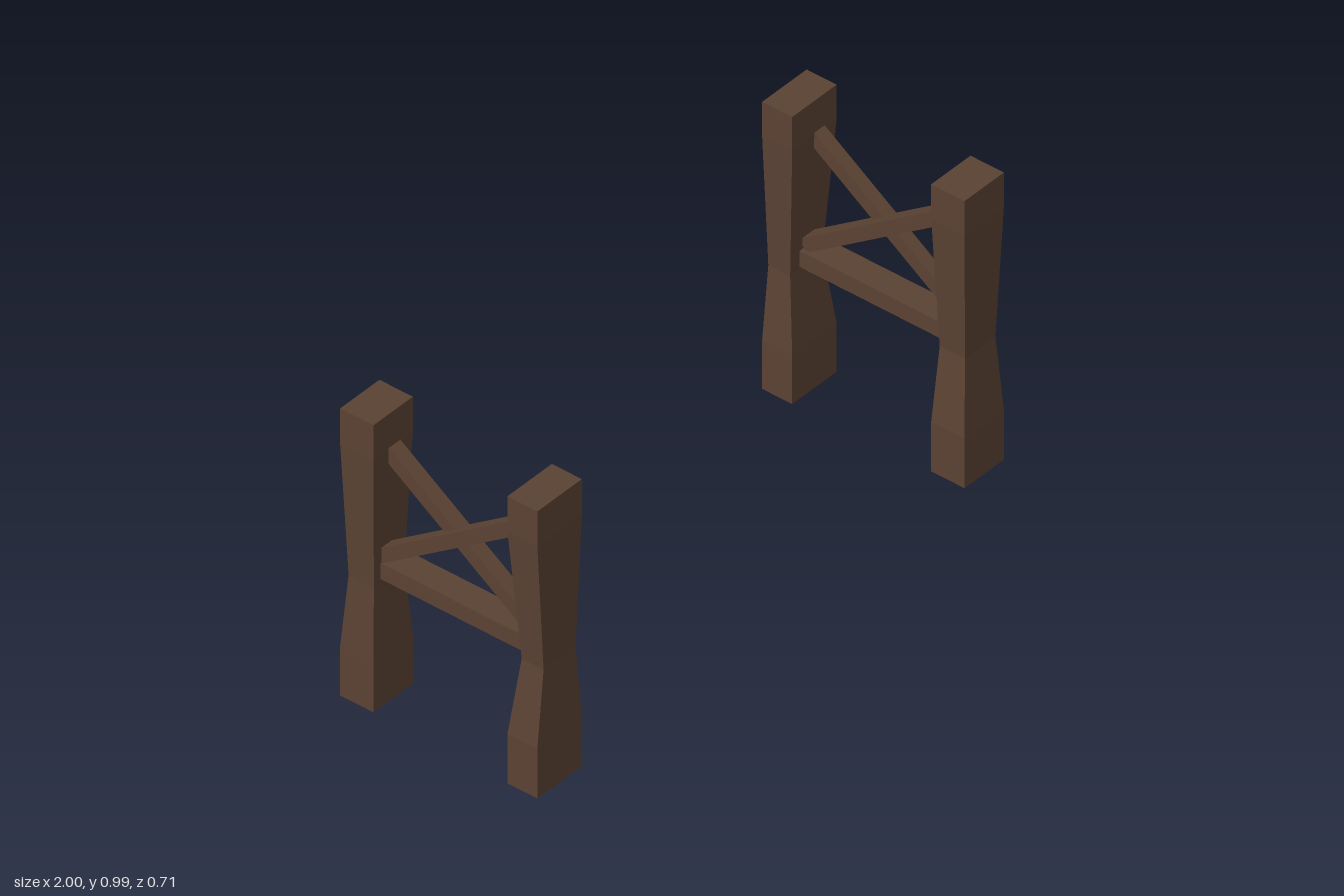
import * as THREE from 'three';

const wood = new THREE.MeshStandardMaterial({ color: 0x5a4233, side: THREE.DoubleSide });
wood.name = 'dark wood';

// Heights of the post's rings; the third one is the pinched waist
const LEVELS = [0, 0.17, 0.42, 0.87, 0.99];

// Tapered post, open underneath; outer and waist are [xMin, xMax, zMin, zMax]
function makePost(name, outer, waist) {
  const corners = LEVELS.map((y, i) => {
    const [x0, x1, z0, z1] = i === 2 ? waist : outer;
    return [[x0, y, z1], [x1, y, z1], [x1, y, z0], [x0, y, z0]];
  });
  const pos = [];
  const quad = (a, b, c, d) => pos.push(...a, ...b, ...c, ...a, ...c, ...d);
  for (let i = 0; i < LEVELS.length - 1; i++) {
    for (let k = 0; k < 4; k++) {
      const n = (k + 1) % 4;
      quad(corners[i][k], corners[i][n], corners[i + 1][n], corners[i + 1][k]);
    }
  }
  quad(...corners[LEVELS.length - 1]);
  const geo = new THREE.BufferGeometry();
  geo.setAttribute('position', new THREE.Float32BufferAttribute(pos, 3));
  geo.computeVertexNormals();
  const mesh = new THREE.Mesh(geo, wood);
  mesh.name = name;
  return mesh;
}

// Straight beam in the z-y plane, rising by "rise" from front to back
function makeBeam(name, x, y, width, thickness, span, rise) {
  const mesh = new THREE.Mesh(new THREE.BoxGeometry(width, thickness, Math.hypot(span, rise)), wood);
  mesh.position.set(x, y, 0);
  mesh.rotation.x = Math.atan2(rise, span);
  mesh.name = name;
  return mesh;
}

// One trestle: two posts, a rail and a cross brace
function makeTrestle(name) {
  const g = new THREE.Group();
  g.name = name;
  g.add(
    makePost('widePost', [-1, -0.81, 0.248, 0.355], [-0.965, -0.828, 0.27, 0.348]),
    makePost('narrowPost', [-0.99, -0.822, -0.357, -0.238], [-0.98, -0.85, -0.335, -0.245]),
    makeBeam('rail', -0.907, 0.462, 0.09, 0.055, 0.53, 0),
    makeBeam('innerBrace', -0.9, 0.682, 0.05, 0.045, 0.53, 0.365),
    makeBeam('outerBrace', -0.927, 0.682, 0.044, 0.045, 0.53, -0.365),
  );
  return g;
}

export function createModel() {
  const model = new THREE.Group();
  model.name = 'trestlePair';
  const right = makeTrestle('rightTrestle');
  // The second trestle is the first one turned half way round
  const left = makeTrestle('leftTrestle');
  left.rotation.y = Math.PI;
  model.add(right, left);
  return model;
}
